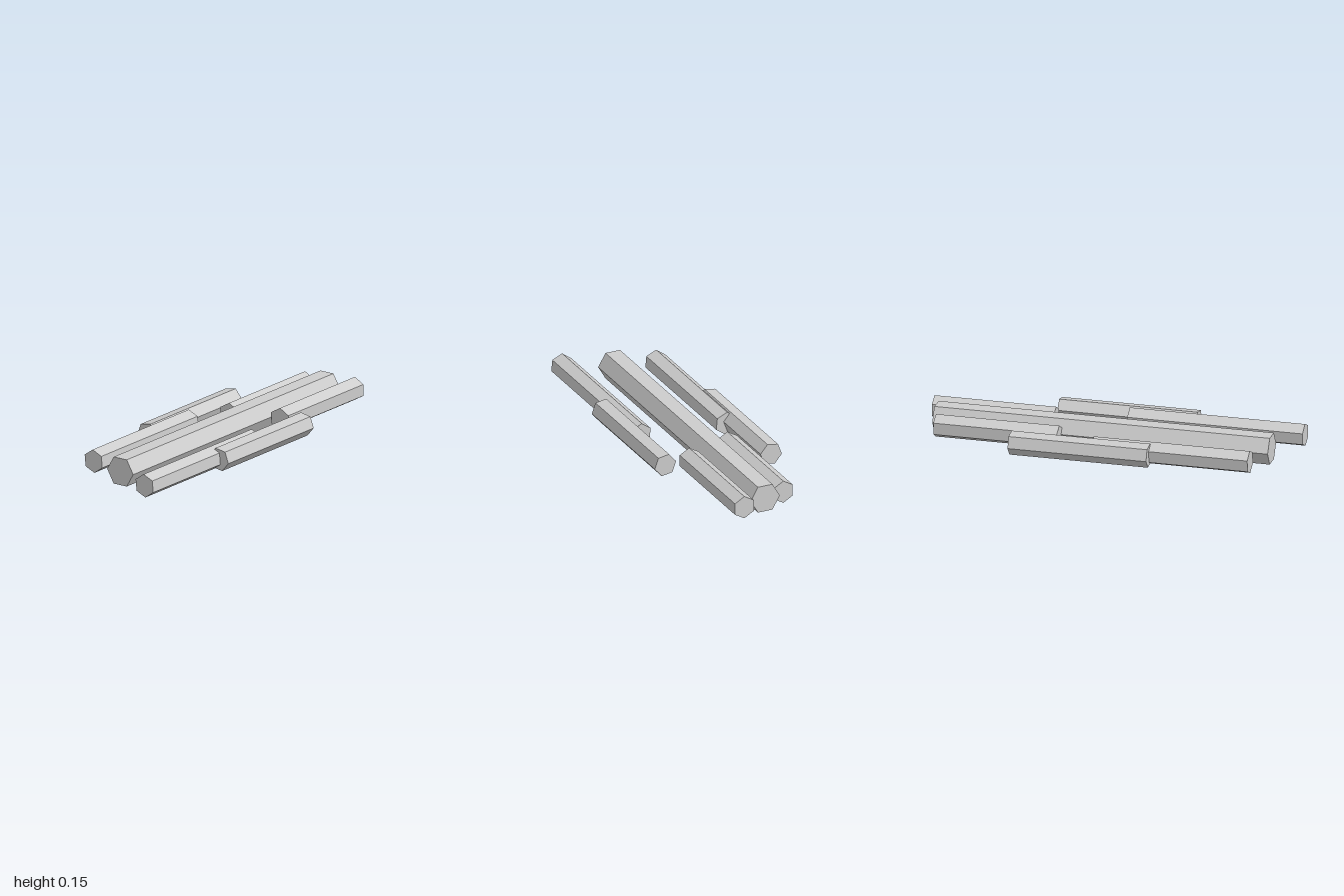
import * as THREE from 'three';

export function createModel() {
  const model = new THREE.Group();
  model.name = 'hexagonalCrystalCluster';

  const grey = new THREE.MeshStandardMaterial({ color: 0xcccccc, flatShading: true });
  grey.name = 'stone grey';

  // Six-sided column lying along z; "corner" is the angle of one corner in degrees.
  function column(name, x, y, radius, corner, zBack, zFront) {
    const geometry = new THREE.CylinderGeometry(radius, radius, zFront - zBack, 6);
    geometry.rotateX(Math.PI / 2);
    geometry.rotateZ(THREE.MathUtils.degToRad(corner - 90));
    const mesh = new THREE.Mesh(geometry, grey);
    mesh.name = name;
    mesh.position.set(x, y, (zBack + zFront) / 2);
    model.add(mesh);
  }

  // Thick central column
  column('centralColumn', -0.013, 0.076, 0.0855, 0, -0.95, 0.883);

  // Thin columns in staggered pairs: inner, middle and outer
  const radius = 0.0635;
  const pairs = [
    { name: 'innerColumn', x: 0.134, lean: 0, right: [-0.92, -0.246], left: [-1, -0.335] },
    { name: 'middleColumn', x: 0.233, lean: 5.5, right: [-0.03, 0.823], left: [0.042, 1] },
    { name: 'outerColumn', x: 0.281, lean: -20, right: [-0.473, 0.284], left: [-0.352, 0.405] },
  ];
  for (const { name, x, lean, right, left } of pairs) {
    column(name + 'Right', -x, 0.0755, radius, 90 + lean, ...right);
    // The left middle column leans the same way as its partner
    const leftLean = name === 'middleColumn' ? lean : -lean;
    column(name + 'Left', x, 0.0755, radius, 90 + leftLean, ...left);
  }

  return model;
}
